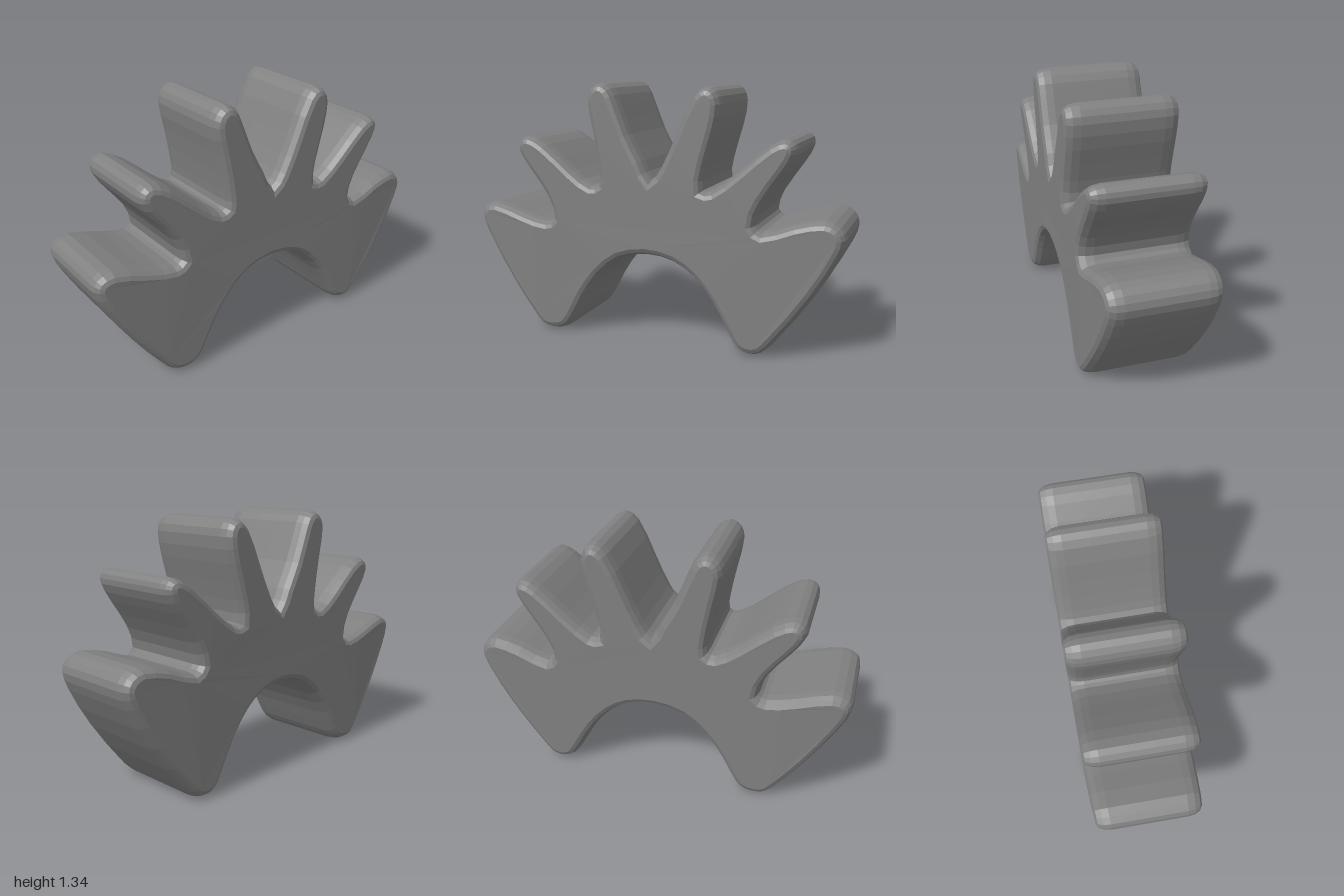
import * as THREE from 'three';

// Outline, counter-clockwise, one row per feature
const outline = [
  // left-hand foot and arch
  [-0.62, 0.015], [-0.56, 0], [-0.48, 0.015], [-0.43, 0.07], [-0.36, 0.2], [-0.27, 0.33], [-0.15, 0.43], [0, 0.463],
  [0.14, 0.44], [0.25, 0.37], [0.35, 0.25], [0.43, 0.11], [0.48, 0.03], [0.54, 0.003], [0.61, 0.015],
  // outer lobe, +x
  [0.68, 0.09], [0.85, 0.32], [0.97, 0.53], [0.998, 0.62], [0.97, 0.68], [0.9, 0.71], [0.75, 0.68], [0.6, 0.63],
  // second lobe, +x
  [0.565, 0.66], [0.6, 0.77], [0.7, 0.92], [0.75, 1.01], [0.745, 1.06], [0.7, 1.085], [0.62, 1.05], [0.47, 0.92], [0.34, 0.82],
  // inner lobe, +x
  [0.3, 0.82], [0.31, 0.93], [0.36, 1.11], [0.38, 1.24], [0.355, 1.305], [0.3, 1.325], [0.24, 1.28], [0.15, 1.09], [0.07, 0.92],
  // inner lobe, -x
  [0.02, 0.86], [-0.03, 0.95], [-0.1, 1.08], [-0.16, 1.23], [-0.2, 1.31], [-0.26, 1.338], [-0.315, 1.305], [-0.335, 1.24], [-0.31, 1.1], [-0.275, 0.9],
  // second lobe, -x
  [-0.275, 0.82], [-0.31, 0.81], [-0.42, 0.88], [-0.58, 1.01], [-0.68, 1.055], [-0.735, 1.03], [-0.745, 0.97], [-0.68, 0.87], [-0.58, 0.74],
  // outer lobe, -x
  [-0.54, 0.62], [-0.58, 0.6], [-0.72, 0.63], [-0.9, 0.68], [-0.98, 0.655], [-1, 0.6], [-0.95, 0.48], [-0.8, 0.24], [-0.68, 0.08],
];

export function createModel() {
  const group = new THREE.Group();
  group.name = 'archedCrest';
  const stone = new THREE.MeshStandardMaterial({ color: 0x808080, flatShading: true });
  stone.name = 'grey';

  const curve = new THREE.CatmullRomCurve3(outline.map(([x, y]) => new THREE.Vector3(x, y, 0)), true, 'centripetal');
  const points = curve.getPoints(outline.length * 2).slice(0, -1).map((p) => new THREE.Vector2(p.x, p.y));

  // Thick slab with soft rims, inset so the outline stays true
  const rim = 0.08, half = 0.295;
  const geometry = new THREE.ExtrudeGeometry(new THREE.Shape(points), {
    depth: 2 * (half - rim), steps: 3,
    bevelEnabled: true, bevelThickness: rim, bevelSize: 0.04, bevelOffset: -0.04, bevelSegments: 3,
  });
  geometry.translate(0, 0, rim - half);

  // Depth narrows slightly toward the top and the side ends, with a small skew
  const pos = geometry.attributes.position;
  for (let i = 0; i < pos.count; i++) {
    const x = pos.getX(i), y = pos.getY(i);
    const taper = 1 - 0.03 * y - 0.07 * Math.pow(Math.abs(x), 4);
    pos.setZ(i, pos.getZ(i) * taper - 0.012 * x);
  }
  geometry.computeVertexNormals();

  const body = new THREE.Mesh(geometry, stone);
  body.name = 'lobedArch';
  group.add(body);
  return group;
}
